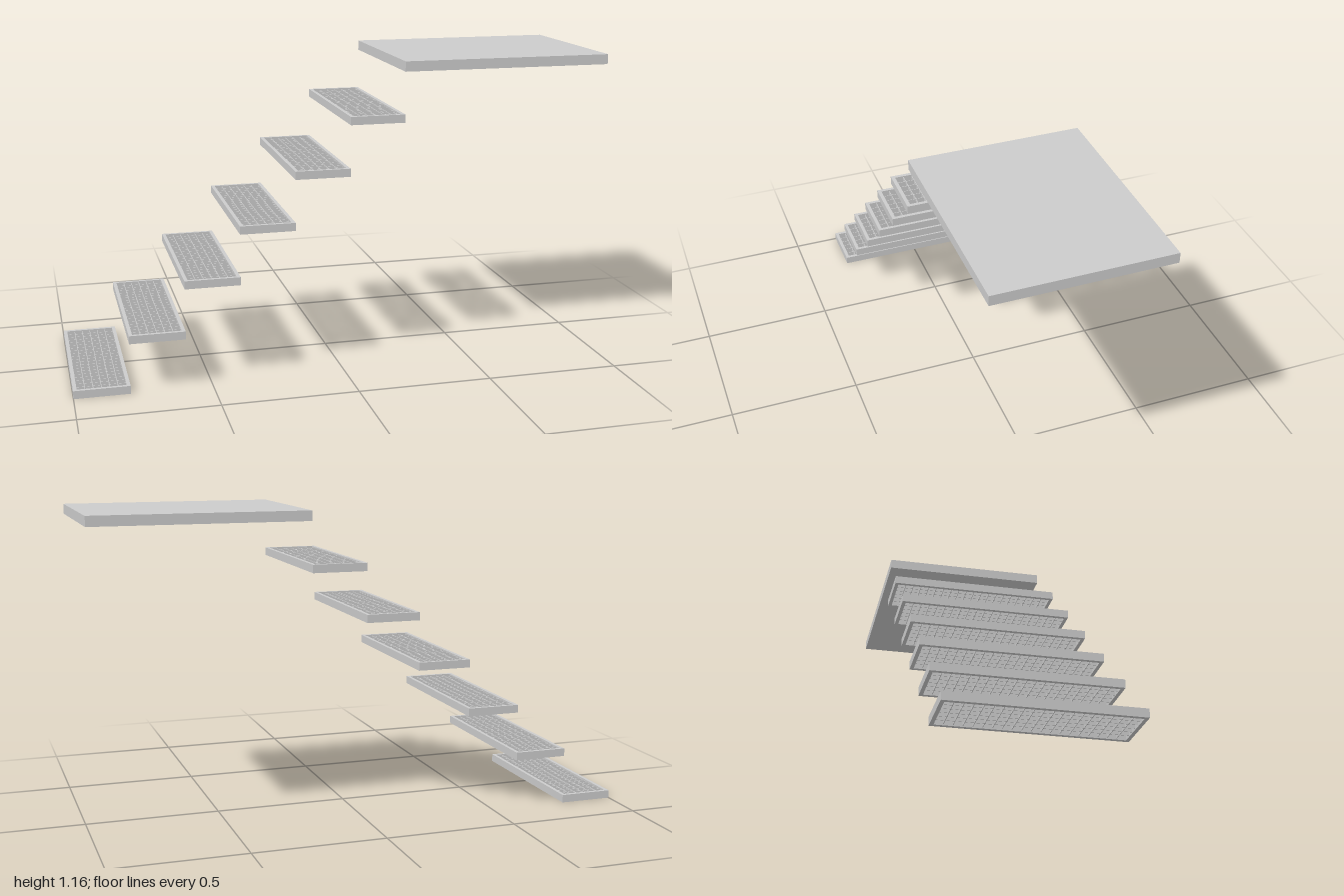
import * as THREE from 'three';

const material = new THREE.MeshStandardMaterial({ color: 0xcccccc, flatShading: true });

function box(parent, name, w, h, d, x, y, z) {
  const mesh = new THREE.Mesh(new THREE.BoxGeometry(w, h, d), material);
  mesh.name = name;
  mesh.position.set(x, y, z);
  parent.add(mesh);
}

const STEPS = 6, RUN = 0.2027, RISE = 0.1875;
const DEPTH = 0.64, THICK = 0.03, FRAME = 0.013;

// One tread: a rectangular frame filled with a grating of thin upright bars
function createTread() {
  const tread = new THREE.Group();
  const innerW = RUN - 2 * FRAME, innerD = DEPTH - 2 * FRAME;
  for (const s of [-1, 1]) {
    box(tread, 'frameLong', FRAME, THICK, DEPTH, s * (RUN - FRAME) / 2, 0, 0);
    box(tread, 'frameEnd', innerW, THICK, FRAME, 0, 0, s * (DEPTH - FRAME) / 2);
  }
  const bar = 0.002, barH = 0.022, nx = 6, nz = 20;
  for (let i = 1; i < nx; i++) {
    box(tread, 'bearingBar', bar, barH, innerD, (i / nx - 0.5) * innerW, 0, 0);
  }
  for (let i = 1; i < nz; i++) {
    box(tread, 'crossBar', innerW, barH, bar, 0, 0, (i / nz - 0.5) * innerD);
  }
  return tread;
}

export function createModel() {
  const model = new THREE.Group();
  model.name = 'gratedStairs';

  // Floating treads climbing towards +x
  for (let i = 0; i < STEPS; i++) {
    const tread = createTread();
    tread.name = 'tread' + (i + 1);
    tread.position.set(-1 + RUN * (i + 0.5), THICK / 2 + RISE * i, 0);
    model.add(tread);
  }

  // Solid landing at the top
  const start = -1 + RUN * STEPS;
  box(model, 'landing', 1 - start, 0.037, 0.624, (1 + start) / 2, 1.1385, 0);
  return model;
}
